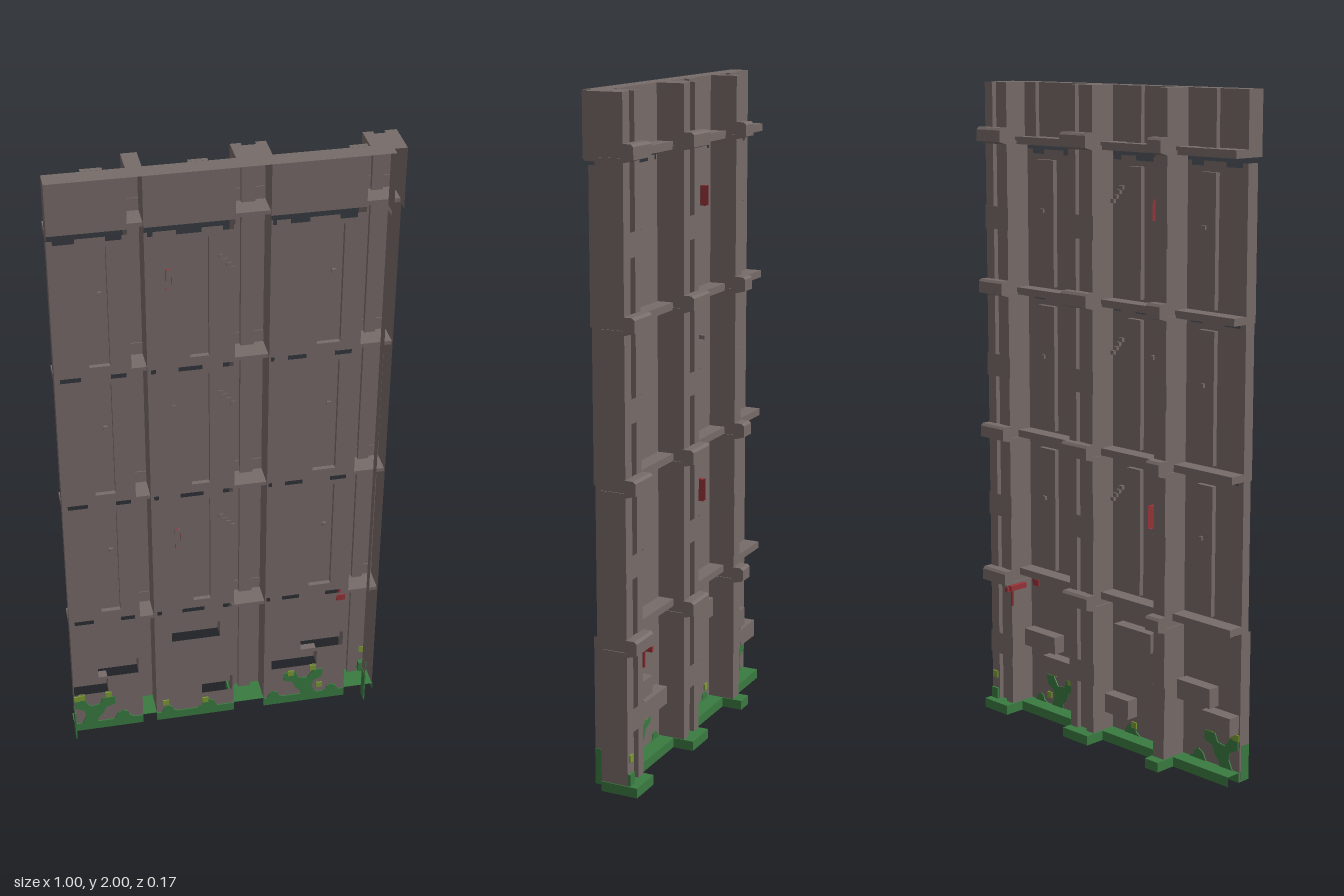
import * as THREE from 'three';

const mat = (name, color) => {
  const m = new THREE.MeshStandardMaterial({ color, side: THREE.DoubleSide, flatShading: true });
  m.name = name;
  return m;
};

export function createModel() {
  const root = new THREE.Group();
  root.name = 'wallSection';
  const metal = mat('brownMetal', 0x766b69);
  const moss = mat('mossGreen', 0x3a7a40);
  const sprout = mat('sproutGreen', 0x7a9a34);
  const rust = mat('rustRed', 0x963338);

  const add = (geo, material, name) => {
    const m = new THREE.Mesh(geo, material);
    m.name = name;
    root.add(m);
  };
  const box = (name, x0, x1, y0, y1, z0, z1, material = metal) =>
    add(new THREE.BoxGeometry(x1 - x0, y1 - y0, z1 - z0)
      .translate((x0 + x1) / 2, (y0 + y1) / 2, (z0 + z1) / 2), material, name);

  // Open pressed-metal casing: listed sides only (b back, l low x, r high x, t top, u underside)
  const casing = (name, x0, x1, y0, y1, z0, z1, sides, material = metal) => {
    const g = new THREE.Group();
    g.name = name;
    const w = x1 - x0, h = y1 - y0, d = z1 - z0;
    const cx = (x0 + x1) / 2, cy = (y0 + y1) / 2, cz = (z0 + z1) / 2;
    const make = {
      b: () => new THREE.PlaneGeometry(w, h).rotateY(Math.PI).translate(cx, cy, z0),
      l: () => new THREE.PlaneGeometry(d, h).rotateY(-Math.PI / 2).translate(x0, cy, cz),
      r: () => new THREE.PlaneGeometry(d, h).rotateY(Math.PI / 2).translate(x1, cy, cz),
      t: () => new THREE.PlaneGeometry(w, d).rotateX(-Math.PI / 2).translate(cx, y1, cz),
      u: () => new THREE.PlaneGeometry(w, d).rotateX(Math.PI / 2).translate(cx, y0, cz),
    };
    for (const s of sides) {
      const m = new THREE.Mesh(make[s](), material);
      m.name = name + 'Face';
      g.add(m);
    }
    root.add(g);
  };

  // Folded sheet: an x,z section carried from y0 to y1
  const sheet = (name, section, y0, y1) => {
    const p = [];
    for (let i = 0; i + 1 < section.length; i++) {
      const [a, b] = section[i], [c, d] = section[i + 1];
      p.push(a, y0, b, a, y1, b, c, y1, d, a, y0, b, c, y1, d, c, y0, d);
    }
    const g = new THREE.BufferGeometry();
    g.setAttribute('position', new THREE.Float32BufferAttribute(p, 3));
    g.computeVertexNormals();
    add(g, metal, name);
  };

  const outline = points => points.map(([x, y]) => new THREE.Vector2(x, y));
  const bays = [[-0.5, -0.275], [-0.23, 0.025], [0.125, 0.395]];
  const gaps = [[-0.48, -0.42], [-0.335, -0.29], [-0.22, -0.205], [-0.14, -0.07],
    [-0.01, 0.02], [0.13, 0.14], [0.18, 0.235], [0.32, 0.37]];
  const rows = [[0, 0.455, 0.07], [0.455, 0.905, 0.06], [0.905, 1.355, 0.065], [1.355, 1.8, 0.07]];
  const blocks = [[-0.175, -0.02, 0.325, 0.385], [-0.415, -0.285, 0.215, 0.275],
    [0.245, 0.385, 0.22, 0.275], [0.15, 0.3, 0.15, 0.205],
    [-0.495, -0.385, 0.15, 0.205], [-0.08, 0.02, 0.09, 0.15]];
  const battens = [[-0.395, -0.335], [-0.105, -0.05], [0.265, 0.335]];

  // Panels with vent notches along the upper edge and openings for blocks or pressed ribs
  rows.forEach(([y0, y1, front], r) => {
    const openings = r === 0 ? blocks : battens.map(([a, b]) => [a, b, y0 + 0.03, y1 - 0.03]);
    for (const [x0, x1] of bays) {
      const s = new THREE.Shape();
      s.moveTo(x0, y0);
      s.lineTo(x0, y1);
      for (const [a, b] of gaps.filter(g => g[0] > x0 && g[1] < x1)) {
        s.lineTo(a, y1);
        s.lineTo(a, y1 - 0.014);
        s.lineTo(b, y1 - 0.014);
        s.lineTo(b, y1);
      }
      s.lineTo(x1, y1);
      s.lineTo(x1, y0);
      for (const [a, b, c, d] of openings.filter(k => k[0] > x0 && k[1] < x1))
        s.holes.push(new THREE.Path(outline([[a, c], [b, c], [b, d], [a, d]])));
      add(new THREE.ShapeGeometry(s).translate(0, 0, 0.03), metal, 'panel');
      // Ledge behind the foot of each panel
      if (r > 0) casing('ledge', x0, x1, y0, y0 + 0.022, -0.02, 0.03, 'blrt');
    }
    // Pressed ribs, rivets and stepped bolts
    if (r > 0) {
      for (const [a, b, c, d] of openings) casing('panelRib', a, b, c, d, 0.015, 0.03, 'blrtu');
      for (const x of [-0.355, 0.31]) box('rivet', x - 0.006, x + 0.006, y0 + 0.255, y0 + 0.267, 0.008, 0.022);
      for (let i = 0; i < 4; i++)
        box('stepBolt', -0.024 + i * 0.012, -0.01 + i * 0.012, y0 + 0.345 - i * 0.014, y0 + 0.357 - i * 0.014, 0.02, 0.033);
    }
    // Forward end flanges
    casing('endFlange', -0.5, 0.455, y0, y1, 0.03, front, 'lr');
  });

  // Hollow blocks on the lowest panels, open below
  for (const [a, b, c, d] of blocks) casing('hollowBlock', a, b, c, d, -0.01, 0.03, 'blrt');

  // Parapet band at the top
  for (const [x0, x1] of bays) {
    casing('parapetPanel', x0, x1, 1.815, 2, 0.03, 0.085, 'b');
    casing('parapetLedge', x0, x1, 1.815, 1.838, -0.02, 0.03, 'blrt');
  }
  for (const [a, b] of [...battens.slice(0, 2), [0.34, 0.39]])
    casing('parapetRib', a, b, 1.838, 2, 0.015, 0.029, 'blrt');
  casing('parapetCap', -0.5, 0.455, 1.815, 2, 0.03, 0.087, 'lrt');
  casing('cornerCap', 0.455, 0.492, 1.815, 2, 0.03, 0.06, 'rt');

  // Pillars: folded sections with a central groove
  const pillars = [
    [[-0.275, 0.03], [-0.275, -0.055], [-0.23, -0.055], [-0.23, 0.03]],
    [[0.025, 0.03], [0.025, -0.055], [0.055, -0.055], [0.055, -0.04], [0.095, -0.04], [0.095, -0.055], [0.125, -0.055], [0.125, 0.03]],
    [[0.395, 0.03], [0.395, -0.055], [0.425, -0.055], [0.425, -0.04], [0.458, -0.04], [0.458, -0.055], [0.492, -0.055], [0.492, 0.03]],
  ];
  for (const sec of pillars) {
    sheet('pillar', sec, 0.03, 2);
    const cap = new THREE.Shape(outline(sec.map(([x, z]) => [x, -z])));
    add(new THREE.ShapeGeometry(cap).rotateX(-Math.PI / 2).translate(0, 2, 0), metal, 'pillarCap');
    const x0 = sec[0][0] - 0.005, x1 = sec[sec.length - 1][0] + 0.003;
    // Collars with clipped edges
    for (const y of [0.425, 0.893, 1.35, 1.815]) {
      const s = new THREE.Shape(outline([[0.02, y], [-0.06, y], [-0.088, y + 0.008],
        [-0.088, y + 0.043], [-0.08, y + 0.05], [-0.052, y + 0.05], [-0.052, y + 0.012], [0.02, y + 0.012]]));
      add(new THREE.ExtrudeGeometry(s, { depth: x1 - x0, bevelEnabled: false })
        .rotateY(-Math.PI / 2).translate(x1, 0, 0), metal, 'collar');
    }
    // Smaller clamps midway up each storey
    for (const y of [0.22, 0.68, 1.13, 1.59])
      casing('clamp', x0, x1, y - 0.035, y + 0.035, -0.057, -0.035, 'blr');
    casing('mossyFoot', x0, x1, 0, 0.03, -0.086, 0.03, 'blrt', moss);
  }

  // Mossy base strip
  for (const [x0, x1] of bays) {
    casing('mossyBase', x0, x1, 0, 0.03, -0.02, 0.034, 'bt', moss);
    box('mossyStrip', x0, x1, 0, 0.03, 0.026, 0.034, moss);
  }
  for (const x of [-0.4985, 0.455]) box('mossyEnd', x - 0.002, x + 0.002, 0, 0.11, 0.036, 0.07, moss);

  // Branching moss, showing on both faces of the panel
  const branch = [[0.02, 0], [0.035, 0.03], [0.03, 0.055], [0, 0.07], [0, 0.1], [0.03, 0.1], [0.05, 0.07],
    [0.08, 0.075], [0.09, 0.1], [0.13, 0.1], [0.13, 0.07], [0.1, 0.06], [0.09, 0.035], [0.075, 0.02], [0.07, 0]];
  const tuft = [[0, 0], [0.012, 0.025], [0.03, 0.035], [0.045, 0.028], [0.05, 0.012], [0.07, 0]];
  for (const [points, x, k, f] of [[branch, -0.495, 1, 1], [tuft, -0.37, 1, 1], [tuft, -0.215, 0.8, 1],
    [tuft, -0.03, 1, -1], [branch, 0.32, 1, -1], [tuft, 0.375, 0.8, -1], [tuft, 0.135, 0.8, 1]]) {
    const s = new THREE.Shape(outline(points.map(([a, b]) => [x + a * f * k, 0.028 + b * k])));
    add(new THREE.ExtrudeGeometry(s, { depth: 0.008, bevelEnabled: false })
      .translate(0, 0, 0.026), moss, 'mossPatch');
  }
  box('mossPatch', 0.462, 0.49, 0.03, 0.065, -0.062, -0.036, moss);
  for (const [x, y] of [[-0.488, 0.135], [-0.472, 0.138], [-0.385, 0.138], [0.288, 0.138],
    [0.215, 0.125], [-0.2, 0.07], [-0.07, 0.06], [0.31, 0.06]])
    box('sproutTuft', x - 0.01, x + 0.01, y - 0.01, y + 0.01, 0.0255, 0.0345, sprout);
  box('sproutTuft', 0.465, 0.485, 0.1, 0.122, -0.06, -0.052, sprout);

  // Slots with rusted rims
  for (const [x, y, h] of [[-0.165, 1.65, 0.06], [-0.152, 0.74, 0.07]]) {
    casing('slotRim', x - 0.008, x + 0.008, y - h / 2, y + h / 2, 0.01, 0.036, 'lrtu', rust);
    box('slotPlate', x - 0.008, x + 0.008, y - h / 2, y + h / 2, 0.028, 0.034);
  }
  box('rivet', -0.161, -0.15, 1.215, 1.227, 0.01, 0.033);

  // Rusted bracket beside the corner pillar
  box('rustBracket', 0.375, 0.389, 0.414, 0.43, -0.075, -0.01, rust);
  box('rustHook', 0.384, 0.394, 0.41, 0.426, -0.084, -0.056, rust);
  box('rustStreak', 0.387, 0.394, 0.36, 0.412, -0.06, -0.053, rust);
  box('rustStain', 0.357, 0.385, 0.412, 0.433, 0.026, 0.034, rust);
  return root;
}
